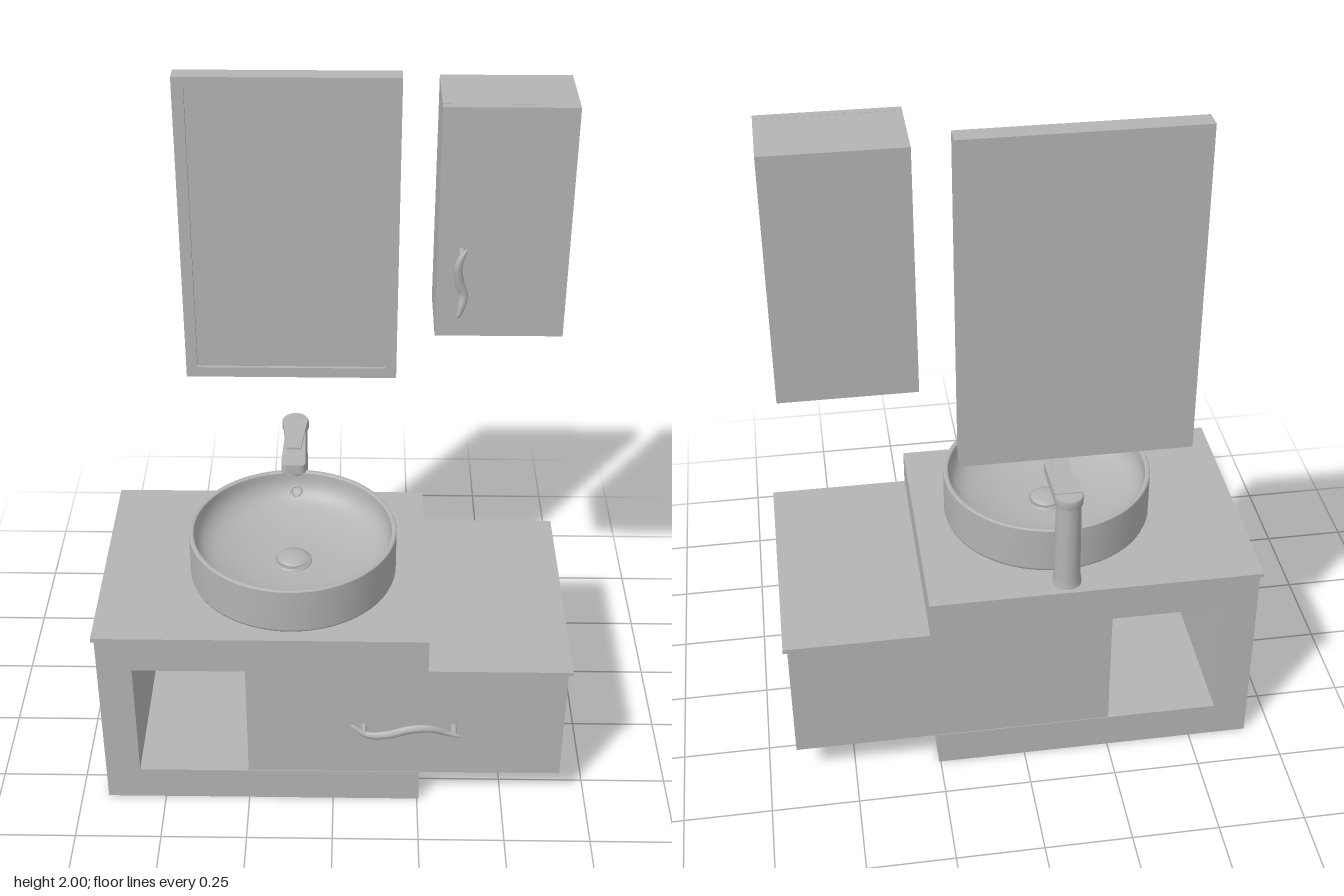
import * as THREE from 'three';

export function createModel() {
  const root = new THREE.Group();
  root.name = 'bathroomVanity';
  const grey = new THREE.MeshStandardMaterial({ color: 0xb4b4b4, side: THREE.DoubleSide });
  grey.name = 'plain grey';

  const add = (name, geo, x = 0, y = 0, z = 0, parent = root) => {
    const m = new THREE.Mesh(geo, grey);
    m.name = name;
    m.position.set(x, y, z);
    parent.add(m);
    return m;
  };
  // Box given by its limits on each axis
  const box = (name, x0, x1, y0, y1, z0, z1) =>
    add(name, new THREE.BoxGeometry(x1 - x0, y1 - y0, z1 - z0), (x0 + x1) / 2, (y0 + y1) / 2, (z0 + z1) / 2);
  const rect = (P, x0, x1, y0, y1) => {
    const p = new P();
    p.moveTo(x0, y0); p.lineTo(x1, y0); p.lineTo(x1, y1); p.lineTo(x0, y1); p.closePath();
    return p;
  };

  // Base cabinet
  const B = -0.38, F = 0.335;
  box('basePlinth', -0.672, 0.255, 0, 0.108, B, F);
  box('sidePanel', -0.672, -0.572, 0.108, 0.492, B, F);
  box('drawerCabinet', -0.25, 0.668, 0.11, 0.492, B, F);
  box('upperSlab', -0.672, 0.256, 0.492, 0.6, B, F);

  // Thin stepped countertop
  box('upperCountertop', -0.68, 0.27, 0.6, 0.612, -0.39, 0.342);
  box('countertopStep', 0.256, 0.27, 0.492, 0.6, -0.39, 0.342);
  box('lowerCountertop', 0.27, 0.68, 0.492, 0.505, -0.39, 0.342);

  // Mirror: frame with a recessed pane
  const frame = rect(THREE.Shape, -0.445, 0.177, 1.07, 2);
  frame.holes.push(rect(THREE.Path, -0.412, 0.145, 1.102, 1.97));
  add('mirrorFrame', new THREE.ExtrudeGeometry(frame, { depth: 0.055, bevelEnabled: false }), 0, 0, -0.38);
  box('mirrorPane', -0.412, 0.145, 1.102, 1.97, -0.38, -0.335);

  // Wall cabinet
  box('wallCabinet', 0.277, 0.635, 1.315, 1.99, B, -0.173);
  box('wallCabinetDoor', 0.277, 0.635, 1.315, 1.99, -0.172, -0.15);

  // Wavy tapered handle on two posts
  function handle(name, pts, posts, doorZ, r) {
    const g = new THREE.Group();
    g.name = name;
    root.add(g);
    const curve = new THREE.CatmullRomCurve3(pts.map(p => new THREE.Vector3(...p)));
    const n = 48, sides = 12;
    const geo = new THREE.TubeGeometry(curve, n, r, sides);
    const pos = geo.attributes.position, v = new THREE.Vector3();
    for (let i = 0; i <= n; i++) {
      const c = curve.getPointAt(i / n);
      const s = Math.pow(Math.max(0, Math.sin(Math.PI * i / n)), 0.4);
      for (let j = 0; j <= sides; j++) {
        const k = i * (sides + 1) + j;
        v.fromBufferAttribute(pos, k).sub(c).multiplyScalar(s);
        v.z *= 0.7;
        v.add(c);
        pos.setXYZ(k, v.x, v.y, v.z);
      }
    }
    geo.computeVertexNormals();
    add(name + 'Grip', geo, 0, 0, 0, g);
    for (const [x, y, z] of posts) {
      const post = new THREE.CylinderGeometry(0.008, 0.008, z - doorZ, 16).rotateX(Math.PI / 2);
      add(name + 'Post', post, x, y, (z + doorZ) / 2, g);
    }
  }
  handle('drawerHandle', [
    [0.05, 0.318, 0.362], [0.10, 0.287, 0.369], [0.16, 0.297, 0.378], [0.22, 0.32, 0.382],
    [0.28, 0.322, 0.379], [0.33, 0.3, 0.372], [0.37, 0.287, 0.374]],
    [[0.09, 0.292, 0.368], [0.35, 0.293, 0.373]], F, 0.014);
  handle('doorHandle', [
    [0.353, 1.6, -0.114], [0.333, 1.555, -0.11], [0.338, 1.5, -0.117],
    [0.35, 1.46, -0.12], [0.346, 1.425, -0.113], [0.335, 1.39, -0.11]],
    [[0.343, 1.58, -0.113], [0.346, 1.417, -0.112]], -0.15, 0.013);

  // Round basin: outer wall, rim and bowl as separate lathes for crisp edges
  const bx = -0.122, bz = 0.007;
  const lathe = (name, pts, x, y, z, seg = 64) =>
    add(name, new THREE.LatheGeometry(pts.map(p => new THREE.Vector2(...p)), seg), x, y, z);
  lathe('basinWall', [[0, 0], [0.292, 0], [0.299, 0.004], [0.302, 0.012], [0.302, 0.144]], bx, 0.612, bz);
  lathe('basinRim', [[0.302, 0.144], [0.3, 0.148], [0.291, 0.148], [0.288, 0.144]], bx, 0.612, bz);
  const bowl = new THREE.SplineCurve([[0.288, 0.144], [0.284, 0.112], [0.268, 0.083], [0.235, 0.06],
    [0.17, 0.04], [0.1, 0.03], [0, 0.026]].map(p => new THREE.Vector2(...p)));
  add('basinBowl', new THREE.LatheGeometry(bowl.getPoints(30), 64), bx, 0.612, bz);

  // Drain plug and overflow ring
  lathe('drainRing', [[0.055, 0.024], [0.054, 0.033], [0.046, 0.034], [0.045, 0.026]], bx, 0.612, bz, 40);
  lathe('drainPlug', [[0.03, 0.024], [0.03, 0.034], [0.045, 0.036], [0.046, 0.041], [0.03, 0.046], [0, 0.048]],
    bx, 0.612, bz, 40);
  const ring = add('overflowRing', new THREE.TorusGeometry(0.015, 0.004, 10, 28), bx, 0.702, bz - 0.271);
  ring.rotation.x = -0.5;

  // Tap: column, cap, spout with outlet, and lever
  const fx = -0.124, fz = -0.335;
  lathe('tapColumn', [[0.041, 0], [0.041, 0.005], [0.037, 0.03], [0.035, 0.272]], fx, 0.612, fz, 40);
  lathe('tapCap', [[0.035, 0.272], [0.04, 0.276], [0.04, 0.298], [0.037, 0.303], [0, 0.303]], fx, 0.612, fz, 40);
  // Plan outline: x across, forward distance along the second axis
  const slab = (name, half, tip, length, y, h, round) => {
    const s = new THREE.Shape();
    s.moveTo(-half, 0);
    s.lineTo(half, 0);
    s.lineTo(tip, length - round);
    s.quadraticCurveTo(tip, length, tip - round, length);
    s.lineTo(-tip + round, length);
    s.quadraticCurveTo(-tip, length, -tip, length - round);
    s.closePath();
    const geo = new THREE.ExtrudeGeometry(s, { depth: h, bevelEnabled: false });
    geo.rotateX(Math.PI / 2);
    return add(name, geo, fx, y + h, fz);
  };
  slab('tapSpout', 0.03, 0.036, 0.205, 0.855, 0.03, 0.018);
  slab('tapLever', 0.038, 0.021, 0.16, 0.912, 0.006, 0.004);
  add('tapOutlet', new THREE.CylinderGeometry(0.025, 0.025, 0.014, 28), fx, 0.848, -0.162);

  return root;
}
